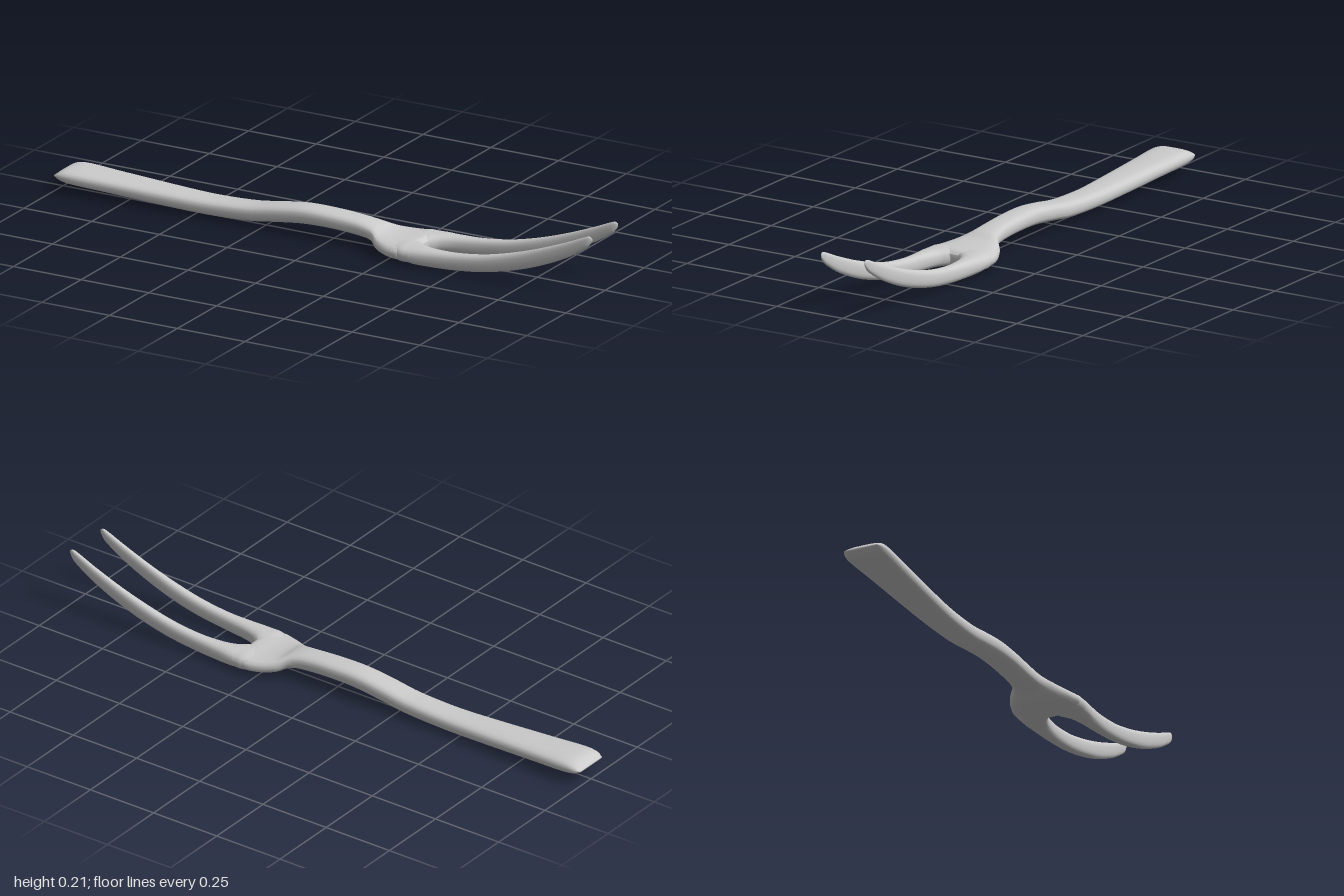
import * as THREE from 'three';

const SIDES = 20, STEPS = 5;

// Smooth in-between stations (Catmull-Rom on every column)
function refine(rows) {
  const out = [];
  const at = (i) => rows[Math.min(Math.max(i, 0), rows.length - 1)];
  for (let i = 0; i < rows.length - 1; i++) {
    for (let s = 0; s < STEPS; s++) {
      const t = s / STEPS;
      out.push(rows[i].map((p1, k) => {
        const p0 = at(i - 1)[k], p2 = at(i + 1)[k], p3 = at(i + 2)[k];
        return p1 + 0.5 * t * (p2 - p0 + t * (2 * p0 - 5 * p1 + 4 * p2 - p3 + t * (3 * (p1 - p2) + p3 - p0)));
      }));
    }
  }
  out.push(at(rows.length - 1));
  return out;
}

// Loft along x through stations [x, bottom, top, zMin, zMax]; low power = boxier section
function loft(name, rows, powZ, powY, material) {
  const rings = refine(rows), pos = [], index = [];
  const soft = (v, p) => Math.sign(v) * Math.abs(v) ** p;
  for (const [x, y0, y1, z0, z1] of rings) {
    for (let j = 0; j < SIDES; j++) {
      const a = (j / SIDES) * Math.PI * 2;
      pos.push(x,
        (y0 + y1) / 2 + soft(Math.sin(a), powY) * (y1 - y0) / 2,
        (z0 + z1) / 2 + soft(Math.cos(a), powZ) * (z1 - z0) / 2);
    }
  }
  const last = rings.length - 1;
  for (let i = 0; i < last; i++) {
    for (let j = 0; j < SIDES; j++) {
      const k = (j + 1) % SIDES, a = i * SIDES, b = a + SIDES;
      index.push(a + j, b + j, b + k, a + j, b + k, a + k);
    }
  }
  // End caps
  for (const i of [0, last]) {
    const [x, y0, y1, z0, z1] = rings[i], c = pos.length / 3;
    pos.push(x, (y0 + y1) / 2, (z0 + z1) / 2);
    for (let j = 0; j < SIDES; j++) {
      const p = i * SIDES + j, q = i * SIDES + (j + 1) % SIDES;
      if (i === 0) index.push(c, p, q); else index.push(c, q, p);
    }
  }
  const geo = new THREE.BufferGeometry();
  geo.setAttribute('position', new THREE.Float32BufferAttribute(pos, 3));
  geo.setIndex(index);
  geo.computeVertexNormals();
  const mesh = new THREE.Mesh(geo, material);
  mesh.name = name;
  return mesh;
}

export function createModel() {
  const group = new THREE.Group();
  group.name = 'carvingFork';
  const metal = new THREE.MeshStandardMaterial({ color: 0xcccccc });

  // Handle and palm: [x, bottom, top, half width]
  const handle = [
    [-1, 0.05, 0.056, 0.06], [-0.955, 0.03, 0.077, 0.073], [-0.8, 0.021, 0.073, 0.066],
    [-0.6, 0.012, 0.066, 0.057], [-0.45, 0.008, 0.063, 0.051], [-0.3, 0.013, 0.07, 0.048],
    [-0.2, 0.026, 0.085, 0.047], [-0.1, 0.038, 0.097, 0.046], [0, 0.041, 0.097, 0.046],
    [0.1, 0.036, 0.091, 0.046], [0.16, 0.029, 0.081, 0.055], [0.2, 0.011, 0.066, 0.085],
    [0.25, 0.003, 0.06, 0.108], [0.3, 0.002, 0.06, 0.116], [0.325, 0.005, 0.058, 0.085],
    [0.34, 0.018, 0.046, 0.05],
  ].map(([x, b, t, w]) => [x, b, t, -w, w]);
  group.add(loft('handle', handle, 0.65, 0.75, metal));

  // Tines: [x, bottom, top, inner z, outer z], growing out of the palm
  const tine = [
    [0.26, 0.008, 0.055, 0.0, 0.1], [0.3, 0.002, 0.06, 0.0, 0.116], [0.33, 0.002, 0.06, 0.004, 0.117],
    [0.345, 0.001, 0.06, 0.018, 0.116], [0.37, 0.001, 0.06, 0.036, 0.114], [0.42, 0.002, 0.06, 0.051, 0.109],
    [0.5, 0.006, 0.063, 0.06, 0.104], [0.6, 0.018, 0.076, 0.063, 0.102], [0.7, 0.04, 0.1, 0.065, 0.1],
    [0.8, 0.072, 0.132, 0.069, 0.097], [0.9, 0.116, 0.17, 0.072, 0.094], [0.97, 0.158, 0.2, 0.074, 0.091],
    [0.99, 0.176, 0.206, 0.077, 0.088], [1, 0.192, 0.2, 0.081, 0.084],
  ];
  group.add(loft('leftTine', tine.map(([x, b, t, i, o]) => [x, b, t, i, o]), 0.8, 0.8, metal));
  group.add(loft('rightTine', tine.map(([x, b, t, i, o]) => [x, b, t, -o, -i]), 0.8, 0.8, metal));
  return group;
}
